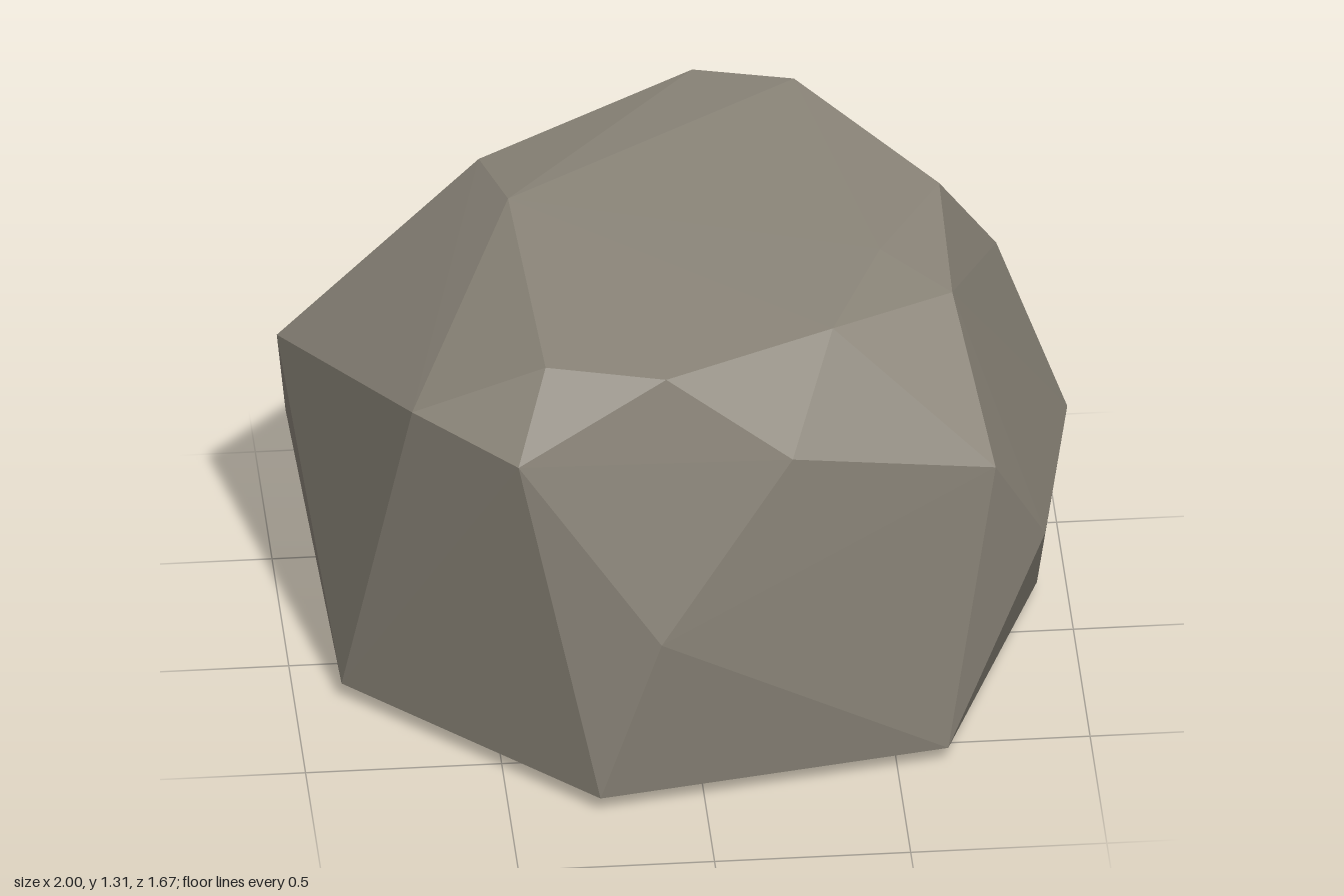
import * as THREE from 'three';
import { ConvexGeometry } from 'three/addons/geometries/ConvexGeometry.js';

export function createModel() {
  const group = new THREE.Group();
  group.name = 'rock';
  const stone = new THREE.MeshStandardMaterial({ color: 0x8c867a, flatShading: true });
  stone.name = 'warm grey stone';

  // Corners of the boulder, grouped by level
  const underside = [
    [0.42, 0, -0.23],
    [-0.88, 0.05, 0.17], [-0.27, 0.05, 0.76], [0.63, 0.05, 0.6],
    [0.92, 0.05, -0.15], [0.34, 0.05, -0.74], [-0.59, 0.05, -0.59],
  ];
  const waist = [
    [-0.12, 0.55, 0.83], [0.89, 0.59, 0.45], [1, 0.56, -0.18],
    [0.92, 0.57, -0.48], [0.73, 0.64, -0.7], [-0.98, 0.56, -0.33],
  ];
  const shoulder = [
    [-1, 0.77, -0.36], [-0.73, 1.09, 0.52], [-0.48, 1.07, 0.77],
    [0.22, 1.05, 0.76], [0.75, 0.9, 0.61], [0.83, 0.98, -0.31], [0.6, 0.85, -0.84],
  ];
  const crown = [
    [-0.4, 1.285, 0.64], [-0.1, 1.29, 0.73], [0.34, 1.305, 0.55],
    [0.66, 1.28, 0.37], [0.67, 1.28, -0.14], [0.49, 1.31, 0.2],
    [0.34, 1.31, -0.61], [0.09, 1.28, -0.72], [-0.48, 1.235, -0.42], [-0.43, 1.3, -0.13],
  ];
  const corners = [...underside, ...waist, ...shoulder, ...crown]
    .map((p) => new THREE.Vector3(...p));

  // Faceted boulder wrapped around the corners
  const boulder = new THREE.Mesh(new ConvexGeometry(corners), stone);
  boulder.name = 'boulder';
  group.add(boulder);
  return group;
}
